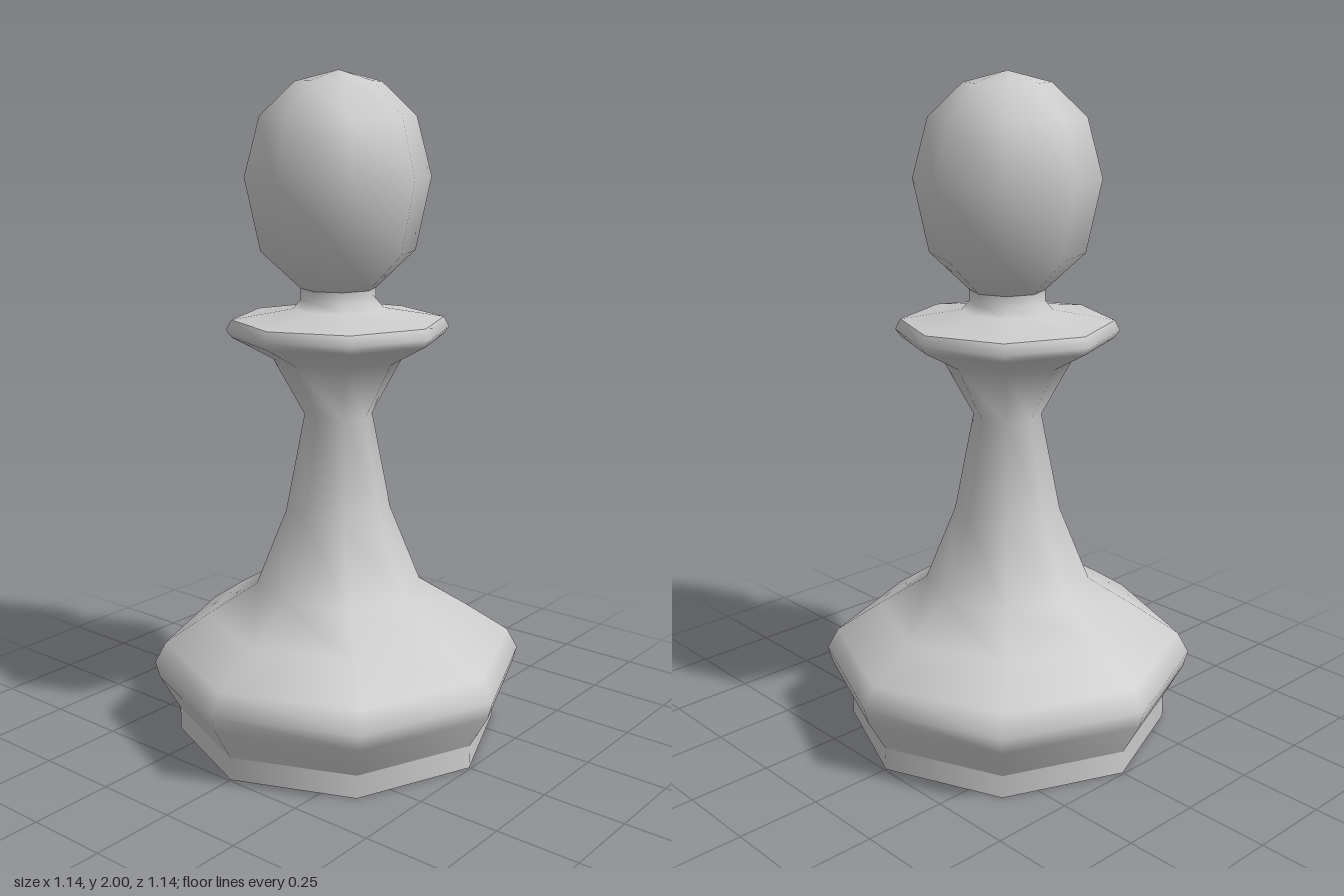
import * as THREE from 'three';

const SIDES = 8;

export function createModel() {
  const group = new THREE.Group();
  const material = new THREE.MeshStandardMaterial({ color: 0xcccccc });

  const add = (name, geometry) => {
    const mesh = new THREE.Mesh(geometry, material);
    mesh.name = name;
    group.add(mesh);
    return mesh;
  };

  // Eight-sided turned part from [radius, height] pairs, bottom to top
  const turned = (name, profile) =>
    add(name, new THREE.LatheGeometry(profile.map(([r, y]) => new THREE.Vector2(r, y)), SIDES));

  // Underside disc
  add('underside', new THREE.CircleGeometry(0.495, SIDES)).rotation.x = Math.PI / 2;

  // Straight foot
  turned('foot', [[0.495, 0], [0.495, 0.07]]);

  // Bulging base, tapering stem and flared underside of the collar
  turned('baseAndStem', [
    [0.495, 0.07], [0.555, 0.175], [0.569, 0.225], [0.535, 0.288],
    [0.4, 0.378], [0.252, 0.47], [0.16, 0.7], [0.102, 1.0],
    [0.195, 1.17], [0.315, 1.235], [0.332, 1.258], [0.316, 1.288],
  ]);

  // Collar top sweeping up into the neck
  turned('collarTop', [[0.316, 1.288], [0.135, 1.318], [0.112, 1.345], [0.112, 1.378]]);

  // Rounded head
  turned('head', [
    [0.112, 1.378], [0.228, 1.487], [0.273, 1.7],
    [0.227, 1.872], [0.125, 1.968], [0, 2],
  ]);

  return group;
}
